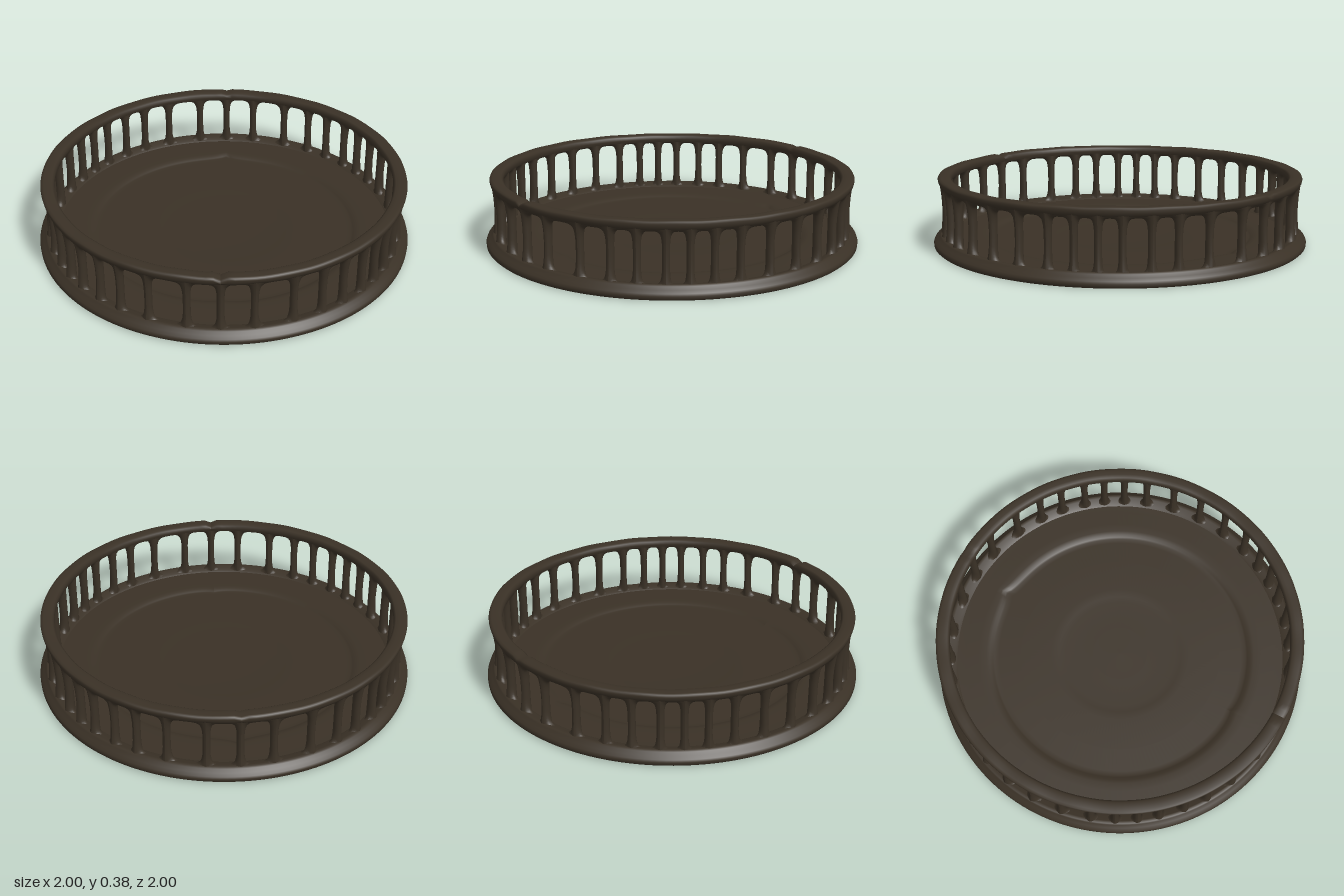
import * as THREE from 'three';

const bronze = new THREE.MeshStandardMaterial({ color: 0x3a3126 });
bronze.name = 'darkBronze';

// Post angles over one quarter turn, in degrees; mirrored to the other quarters
const QUARTER = [0, 10, 22, 31.8, 39.8, 48.2, 55.2, 62.3, 70.2, 79.9, 90];
const Y0 = 0.04, Y1 = 0.345;      // pierced band
const HOLE0 = 0.056, HOLE1 = 0.317; // openings
const POST_HALF = 0.02;           // half width of a post, as an angle

function mesh(name, geometry) {
  const m = new THREE.Mesh(geometry, bronze);
  m.name = name;
  return m;
}

function lathe(points) {
  return new THREE.LatheGeometry(points.map(p => new THREE.Vector2(...p)), 180);
}

// Moves each vertex in cylindrical terms: rule(angle, radius, y) -> [radius, y]
function reshape(geometry, rule) {
  const p = geometry.attributes.position;
  for (let i = 0; i < p.count; i++) {
    const a = Math.atan2(p.getX(i), p.getZ(i));
    const [r, y] = rule(a, Math.hypot(p.getX(i), p.getZ(i)), p.getY(i));
    p.setXYZ(i, r * Math.sin(a), y, r * Math.cos(a));
  }
  geometry.computeVertexNormals();
  return geometry;
}

// One bay: a rounded frame around an arched opening, bent around the axis
function bayGeometry(a0, a1) {
  const N = 40, K = 8, pos = [], index = [];
  const mid = (a0 + a1) / 2, half = (a1 - a0) / 2;
  const root = v => Math.sign(v) * Math.sqrt(Math.abs(v));
  for (let k = 0; k <= K; k++) {
    const phi = Math.PI * k / K, s = Math.sin(phi);
    for (let j = 0; j < N; j++) {
      const t = 2 * Math.PI * j / N;
      const u = root(Math.cos(t)), v = root(Math.sin(t));
      const m = Math.max(Math.abs(u), Math.abs(v));
      const a = mid + THREE.MathUtils.lerp(u / m * half, u * (half - POST_HALF), s);
      const cellY = (Y0 + Y1) / 2 + v / m * (Y1 - Y0) / 2;
      const holeY = (HOLE0 + HOLE1) / 2 + v * (HOLE1 - HOLE0) / 2;
      const y = THREE.MathUtils.lerp(cellY, holeY, s);
      const outer = 0.965 - 0.014 * Math.sin(Math.PI * (y - Y0) / (Y1 - Y0));
      const r = THREE.MathUtils.lerp(outer, 0.905, (1 - Math.cos(phi)) / 2);
      pos.push(r * Math.sin(a), y, r * Math.cos(a));
    }
  }
  for (let k = 0; k < K; k++) for (let j = 0; j < N; j++) {
    const j1 = (j + 1) % N;
    const a = k * N + j, b = k * N + j1, c = b + N, d = a + N;
    index.push(a, b, c, a, c, d);
  }
  const g = new THREE.BufferGeometry();
  g.setAttribute('position', new THREE.Float32BufferAttribute(pos, 3));
  g.setIndex(index);
  g.computeVertexNormals();
  return g;
}

export function createModel() {
  const model = new THREE.Group();
  model.name = 'roundGalleryTray';

  // Flat underside and flared foot
  model.add(mesh('underside', lathe([[0, 0], [0.99, 0]])));
  model.add(mesh('foot', lathe([
    [0.99, 0], [0.999, 0.008], [1, 0.022], [0.995, 0.034], [0.98, 0.046], [0.966, 0.06], [0.96, 0.068],
    [0.945, 0.066], [0.93, 0.06], [0.91, 0.055], [0.895, 0.046],
  ])));

  // Floor: a shallow dish whose step rises to a point at the back
  const floor = lathe([
    [0.9, 0.048], [0.85, 0.047], [0.78, 0.047], [0.74, 0.046], [0.72, 0.043], [0.705, 0.036],
    [0.695, 0.032], [0.67, 0.031], [0.55, 0.032], [0.38, 0.031], [0.34, 0.029], [0.3, 0.026], [0.15, 0.025], [0, 0.025],
  ]);
  model.add(mesh('floor', reshape(floor, (a, r, y) => {
    const near = Math.exp(-(((r - 0.705) / 0.06) ** 2));
    const back = 0.035 * Math.exp(-(Math.PI - Math.abs(a)) / 0.07);
    const front = -0.015 * Math.exp(-Math.abs(a) / 0.07);
    return [r + near * (back + front), y];
  })));

  // Pierced gallery wall
  const gallery = new THREE.Group();
  gallery.name = 'gallery';
  const angles = [];
  for (let q = 0; q < 4; q++) {
    const part = q % 2 ? QUARTER.map(d => 90 - d).reverse() : QUARTER;
    part.slice(0, -1).forEach(d => angles.push(d + 90 * q));
  }
  angles.push(360);
  for (let i = 0; i < angles.length - 1; i++) {
    const [a0, a1] = [angles[i], angles[i + 1]].map(THREE.MathUtils.degToRad);
    gallery.add(mesh('archedBay', bayGeometry(a0, a1)));
  }
  model.add(gallery);

  // Top rim, slightly uneven, with a small nick at front and back
  const rim = lathe([
    [0.905, 0.33], [0.935, 0.325], [0.96, 0.33], [0.968, 0.345], [0.971, 0.36], [0.967, 0.37], [0.955, 0.373],
    [0.93, 0.373], [0.91, 0.371], [0.9, 0.364], [0.899, 0.345], [0.905, 0.33],
  ]);
  model.add(mesh('rim', reshape(rim, (a, r, y) => {
    if (y < 0.355) return [r, y];
    const wave = 0.002 * Math.sin(9 * a) * Math.cos(14 * a);
    const nick = Math.abs(a) < 0.01 ? 0.014 : Math.PI - Math.abs(a) < 0.01 ? 0.008 : 0;
    return [r, y + wave - nick];
  })));

  return model;
}
